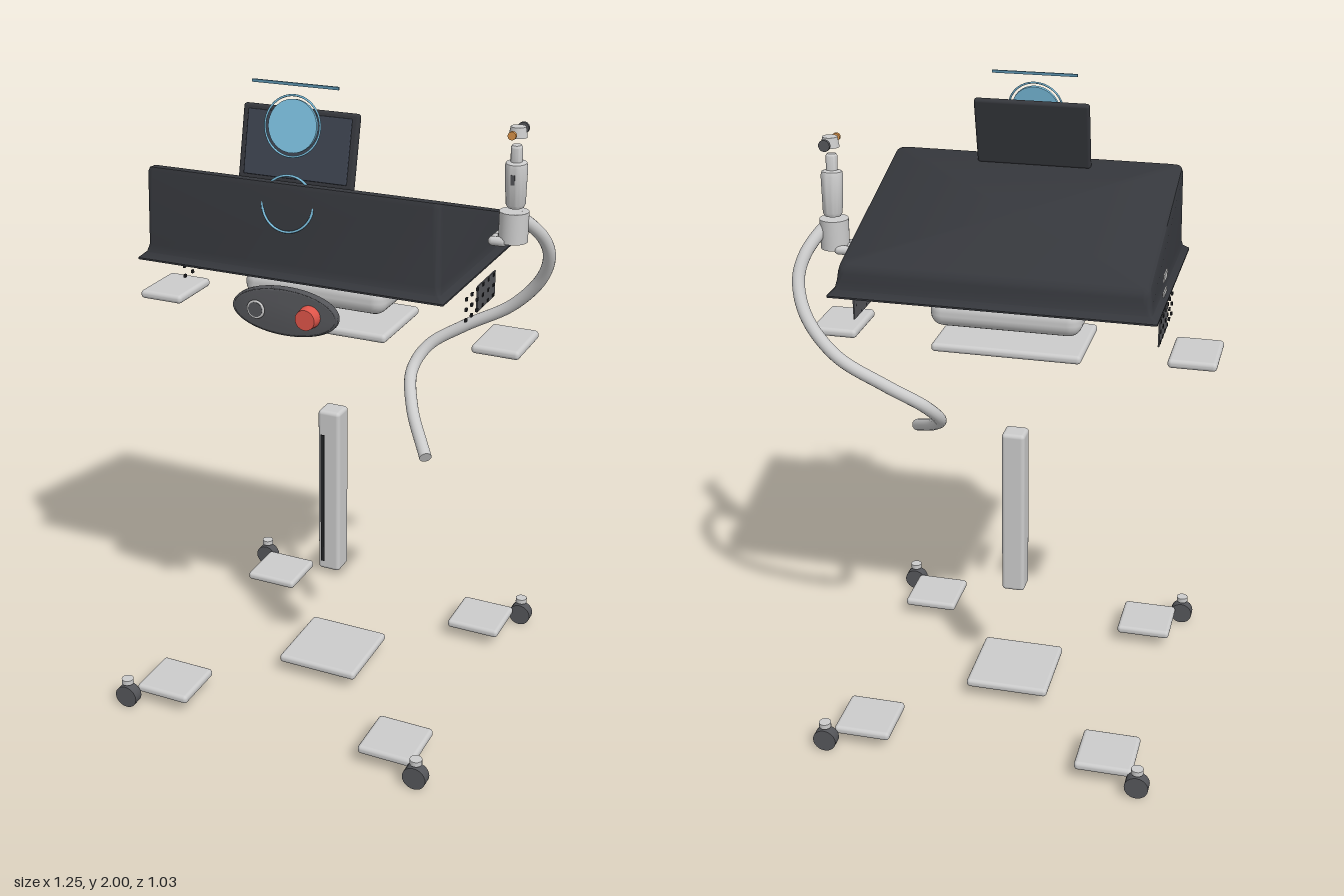
import * as THREE from 'three';
import { toCreasedNormals } from 'three/addons/utils/BufferGeometryUtils.js';
import { RoundedBoxGeometry } from 'three/addons/geometries/RoundedBoxGeometry.js';

const mat = (color) => new THREE.MeshStandardMaterial({ color });
const grey = mat(0xcccccc), shell = mat(0x35373c), dark = mat(0x55565a), black = mat(0x222326);
const red = mat(0xe0554a), blue = mat(0x7cc0e0), screenMat = mat(0x3c424f), orange = mat(0xd9934a);

export function createModel() {
  const model = new THREE.Group();

  const add = (name, geometry, material, x = 0, y = 0, z = 0, parent = model) => {
    const mesh = new THREE.Mesh(geometry, material);
    mesh.name = name;
    mesh.position.set(x, y, z);
    parent.add(mesh);
    return mesh;
  };
  const slab = (name, w, h, d, r, material, x, y, z, parent) =>
    add(name, new RoundedBoxGeometry(w, h, d, 3, r), material, x, y, z, parent);
  const group = (name, x, y, z, tilt = 0) => {
    const g = new THREE.Group();
    g.name = name;
    g.position.set(x, y, z);
    g.rotation.x = tilt;
    model.add(g);
    return g;
  };

  // Base: centre plate, four corner pads and their castors
  slab('basePlate', 0.27, 0.028, 0.27, 0.012, grey, 0, 0.054, 0);
  for (const sx of [-1, 1]) for (const sz of [-1, 1]) {
    slab('basePad', 0.18, 0.028, 0.18, 0.012, grey, sx * 0.385, 0.054, sz * 0.385);
    const wheel = add('castorWheel', new THREE.CylinderGeometry(0.037, 0.037, 0.034, 24), dark, sx * 0.495, 0.037, sz * 0.495);
    wheel.rotation.x = Math.PI / 2;
    add('castorCap', new THREE.CylinderGeometry(0.019, 0.019, 0.016, 16), grey, sx * 0.495, 0.09, sz * 0.495);
  }

  // Column with its separate front strip
  slab('column', 0.074, 0.562, 0.074, 0.012, grey, 0, 0.654, 0);
  add('columnStrip', new THREE.BoxGeometry(0.012, 0.445, 0.003), black, 0, 0.653, 0.08);

  // Plates and block beneath the housing
  slab('supportPlate', 0.456, 0.027, 0.274, 0.012, grey, 0, 1.249, 0);
  slab('supportBlock', 0.456, 0.09, 0.31, 0.04, grey, 0, 1.365, 0);
  for (const s of [-1, 1]) {
    slab('sideShelf', 0.145, 0.027, 0.195, 0.012, grey, s * 0.549, 1.249, 0);
    // Vent panel and perforations
    add('ventPanel', new THREE.BoxGeometry(0.004, 0.08, 0.155), dark, s * 0.457, 1.365, -0.078);
    for (let i = 0; i < 6; i++) for (let j = 0; j < 3; j++)
      add('ventHole', new THREE.BoxGeometry(0.006, 0.01, 0.01), black, s * 0.458, 1.333 + j * 0.032, 0.093 - i * 0.046);
  }

  add('housing', housingGeometry(), shell);
  for (const y of [1.475, 1.528]) add('sideTrim', new THREE.BoxGeometry(0.004, 0.022, 0.06), grey, -0.463, y, -0.115);

  // Tilted tablet
  const tablet = group('tablet', 0, 1.82, 0.226, -0.22);
  slab('tabletBack', 0.352, 0.21, 0.022, 0.009, shell, 0, 0, 0, tablet);
  slab('tabletScreen', 0.315, 0.18, 0.008, 0.003, screenMat, 0, 0, 0.012, tablet);

  // Blue lens, rings and top bar
  const lens = group('lens', 0, 1.885, 0.262, -0.2);
  const disc = add('lensDisc', new THREE.CylinderGeometry(0.073, 0.073, 0.01, 48), blue, 0, 0, 0, lens);
  disc.rotation.x = Math.PI / 2;
  add('lensRing', new THREE.TorusGeometry(0.083, 0.003, 8, 48), blue, 0, 0, 0.004, lens);
  const lower = group('lowerRing', 0, 1.676, 0.302, -0.19);
  add('lowerRingBand', new THREE.TorusGeometry(0.078, 0.0035, 8, 48), blue, 0, 0, 0, lower);
  add('topBar', new THREE.BoxGeometry(0.26, 0.008, 0.006), mat(0x5c93ae), 0, 1.996, 0.245);

  // Oval control panel
  const oval = new THREE.Shape();
  oval.absellipse(0, 0, 0.155, 0.063, 0, Math.PI * 2);
  const ovalGeometry = new THREE.ExtrudeGeometry(oval, {
    depth: 0.01, bevelEnabled: true, bevelSize: 0.009, bevelThickness: 0.008, bevelSegments: 3, curveSegments: 40,
  });
  add('controlPanel', toCreasedNormals(ovalGeometry, 0.6), dark, 0, 1.367, 0.315);
  const rim = add('controlRim', new THREE.TorusGeometry(0.16, 0.005, 8, 64), dark, 0, 1.367, 0.328);
  rim.scale.y = 0.42;
  const button = add('redButton', new THREE.CylinderGeometry(0.03, 0.034, 0.04, 32), red, 0.08, 1.367, 0.346);
  button.rotation.x = Math.PI / 2;
  const dial = add('dial', new THREE.CylinderGeometry(0.022, 0.022, 0.014, 32), dark, -0.085, 1.367, 0.339);
  dial.rotation.x = Math.PI / 2;
  add('dialRing', new THREE.TorusGeometry(0.024, 0.004, 8, 32), grey, -0.085, 1.367, 0.342);

  // Hose
  const path = [
    [0.54, 1.60, -0.09], [0.562, 1.58, -0.11], [0.597, 1.52, -0.165], [0.606, 1.455, -0.205], [0.57, 1.36, -0.25],
    [0.475, 1.255, -0.275], [0.33, 1.17, -0.265], [0.225, 1.10, -0.23], [0.195, 1.035, -0.17],
    [0.24, 0.96, -0.06], [0.345, 0.875, 0.09],
  ].map((p) => new THREE.Vector3(...p));
  const curve = new THREE.CatmullRomCurve3(path);
  add('hose', new THREE.TubeGeometry(curve, 90, 0.019, 16), grey);
  const end = add('hoseEnd', new THREE.CylinderGeometry(0.019, 0.019, 0.004, 16), grey, ...path[path.length - 1]);
  end.quaternion.setFromUnitVectors(new THREE.Vector3(0, 1, 0), curve.getTangent(1));

  // Holder cup with its fingers
  add('holderCup', new THREE.CylinderGeometry(0.043, 0.043, 0.09, 32), grey, 0.528, 1.57, -0.09);
  for (const z of [-0.12, -0.09, -0.06]) {
    const finger = add('holderFinger', new THREE.CapsuleGeometry(0.014, 0.03, 4, 12), grey, 0.492, 1.528, z);
    finger.rotation.z = Math.PI / 2;
  }

  // Handpiece, turned profile leaning slightly back
  const profile = [[0, -0.07], [0.024, -0.07], [0.029, -0.06], [0.033, 0.05], [0.03, 0.062], [0.017, 0.066],
    [0.017, 0.108], [0.013, 0.114], [0, 0.114]].map((p) => new THREE.Vector2(...p));
  const hand = group('handpiece', 0.528, 1.695, -0.093, 0.08);
  add('handpieceBody', toCreasedNormals(new THREE.LatheGeometry(profile, 28), 0.6), grey, 0, 0, 0, hand);
  add('handpieceButton', new THREE.BoxGeometry(0.012, 0.03, 0.006), dark, 0, 0.02, 0.03, hand);

  // Nozzle pieces floating above the handpiece
  add('nozzle', new THREE.CylinderGeometry(0.022, 0.027, 0.03, 24), grey, 0.528, 1.845, -0.09);
  for (const [z, r, m] of [[-0.138, 0.017, dark], [-0.037, 0.012, orange]]) {
    const cap = add('nozzleCap', new THREE.CylinderGeometry(r, r, 0.01, 20), m, 0.528, 1.845, z);
    cap.rotation.x = Math.PI / 2;
  }
  return model;
}

// Wedge-shaped housing lofted from rounded rectangles, with a flared lower rim and sloping lid
function housingGeometry() {
  const lid = (z) => 1.643 + 0.32 * z;
  const levels = [ // half width, half depth, corner radius, height rule
    [0.475, 0.33, 0.004, () => 1.458],
    [0.475, 0.33, 0.004, () => 1.463],
    [0.458, 0.313, 0.012, () => 1.478],
    [0.454, 0.308, 0.02, () => 1.5],
    [0.45, 0.305, 0.022, (z) => lid(z) - 0.022],
    [0.446, 0.301, 0.022, (z) => lid(z) - 0.008],
    [0.434, 0.289, 0.02, (z) => lid(z)],
  ];
  const corners = [[1, 1], [-1, 1], [-1, -1], [1, -1]], steps = 6, n = 4 * (steps + 1);
  const pos = [], idx = [];
  for (const [w, d, r, height] of levels) {
    corners.forEach(([sx, sz], c) => {
      for (let i = 0; i <= steps; i++) {
        const a = (c + i / steps) * Math.PI / 2;
        const z = sz * (d - r) + r * Math.sin(a);
        pos.push(sx * (w - r) + r * Math.cos(a), height(z), z);
      }
    });
  }
  const top = (levels.length - 1) * n, low = levels.length * n;
  pos.push(0, 1.458, 0, 0, lid(0), 0);
  for (let j = 0; j < n; j++) {
    const k = (j + 1) % n;
    for (let i = 0; i < top; i += n) idx.push(i + j, i + n + j, i + k, i + k, i + n + j, i + n + k);
    idx.push(low, j, k, low + 1, top + k, top + j);
  }
  const g = new THREE.BufferGeometry();
  g.setAttribute('position', new THREE.Float32BufferAttribute(pos, 3));
  g.setIndex(idx);
  return toCreasedNormals(g, 0.7);
}
